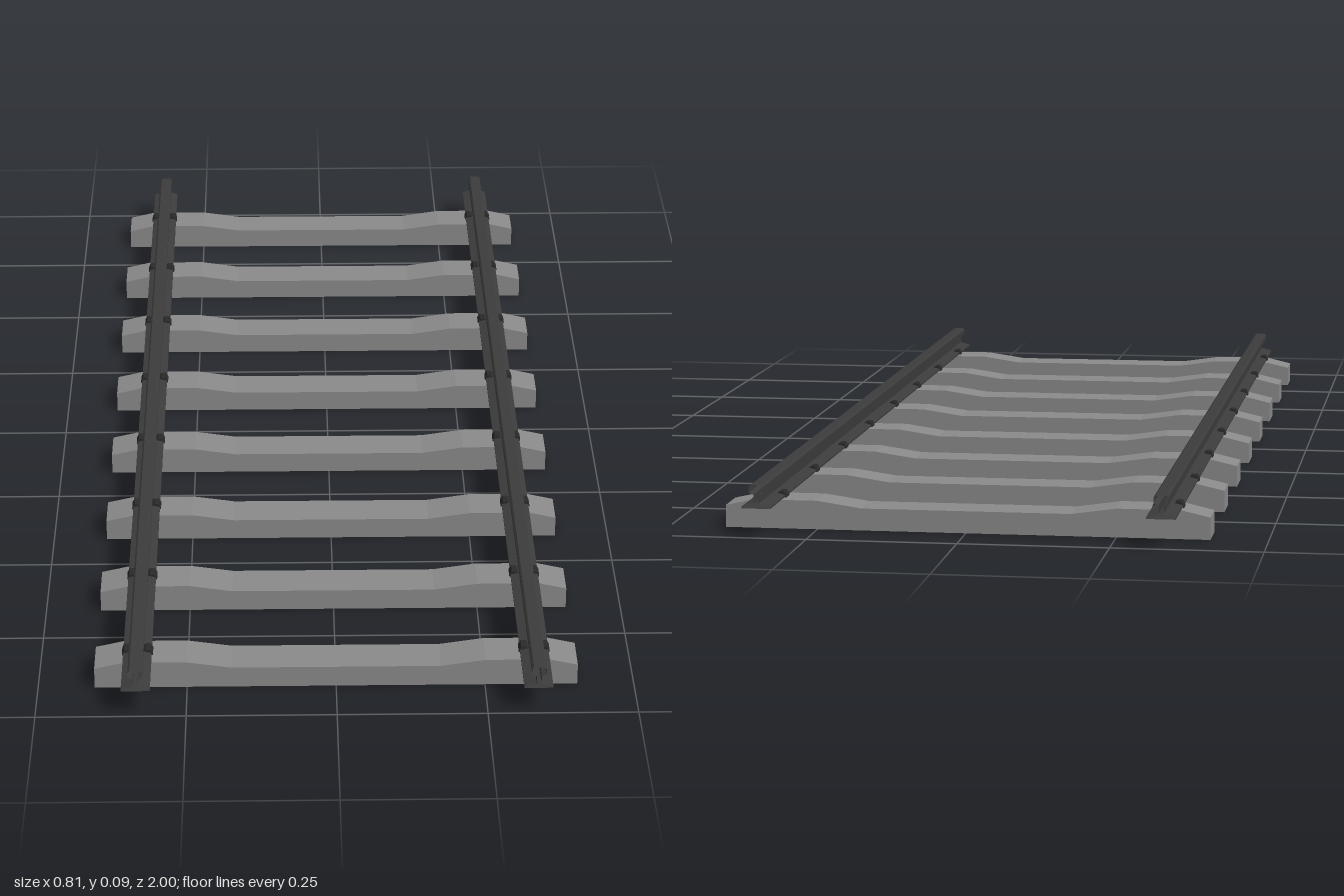
import * as THREE from 'three';
import { mergeGeometries } from 'three/addons/utils/BufferGeometryUtils.js';

const paint = (color) =>
  new THREE.MeshStandardMaterial({ color, flatShading: true, side: THREE.DoubleSide });

// Sweep a counter-clockwise profile along z, leaving both ends open
function sweep(profile, length) {
  const h = length / 2;
  const pos = [];
  for (let i = 0; i < profile.length - 1; i++) {
    const [ax, ay] = profile[i];
    const [bx, by] = profile[i + 1];
    pos.push(ax, ay, -h, bx, by, -h, bx, by, h);
    pos.push(ax, ay, -h, bx, by, h, ax, ay, h);
  }
  const g = new THREE.BufferGeometry();
  g.setAttribute('position', new THREE.Float32BufferAttribute(pos, 3));
  g.computeVertexNormals();
  return g;
}

const toShape = (pts) => new THREE.Shape(pts.map(([x, y]) => new THREE.Vector2(x, y)));

// Mirror the right half of an outline to finish it on the left
const mirrored = (half) => [...half, ...half.slice().reverse().map(([x, y]) => [-x, y])];

// Hollow sleeper: top and ends swept, two flat sides, open underneath
function sleeperGeometry() {
  const width = 0.07;
  const outline = mirrored([[0.405, 0], [0.405, 0.037], [0.357, 0.048], [0.25, 0.048], [0.175, 0.037]]);
  const front = new THREE.ShapeGeometry(toShape(outline)).toNonIndexed();
  const back = front.clone().rotateY(Math.PI);
  front.translate(0, 0, width / 2);
  back.translate(0, 0, -width / 2);
  const parts = [sweep(outline, width), front, back];
  parts.forEach((g) => g.deleteAttribute('uv'));
  return mergeGeometries(parts);
}

// Flat-bottomed rail: foot, web and head
function railGeometry() {
  const outline = mirrored([
    [0.024, 0.049], [0.024, 0.052], [0.004, 0.057], [0.004, 0.072],
    [0.012, 0.075], [0.012, 0.085], [0.009, 0.088],
  ]);
  return sweep([...outline, outline[0]], 2);
}

// Bent clip that grips the foot of the rail
function clipGeometry() {
  const outline = [
    [0.026, 0.047], [0.026, 0.051], [0.022, 0.058], [0.014, 0.058],
    [0.010, 0.055], [0.010, 0.052], [0.021, 0.052], [0.021, 0.047],
  ];
  const g = new THREE.ExtrudeGeometry(toShape(outline), { depth: 0.022, bevelEnabled: false });
  return g.translate(0, 0, -0.011);
}

export function createModel() {
  const model = new THREE.Group();
  model.name = 'railwayTrack';
  const add = (name, geometry, material, x = 0, z = 0) => {
    const mesh = new THREE.Mesh(geometry, material);
    mesh.name = name;
    mesh.position.set(x, 0, z);
    model.add(mesh);
    return mesh;
  };

  const concrete = paint(0x8a8a8a);
  const steel = paint(0x3c3c3c);
  const iron = paint(0x2a2a2a);
  const sleeper = sleeperGeometry();
  const rail = railGeometry();
  const clip = clipGeometry();
  const gauge = 0.333;

  add('leftRail', rail, steel, gauge);
  add('rightRail', rail, steel, -gauge);

  // Eight sleepers, each with a pair of clips per rail
  for (let i = 0; i < 8; i++) {
    const z = -0.875 + i * 0.25;
    add('sleeper', sleeper, concrete, 0, z);
    for (const x of [-gauge, gauge]) {
      add('railClip', clip, iron, x, z);
      add('railClip', clip, iron, x, z).rotation.y = Math.PI;
    }
  }
  return model;
}
